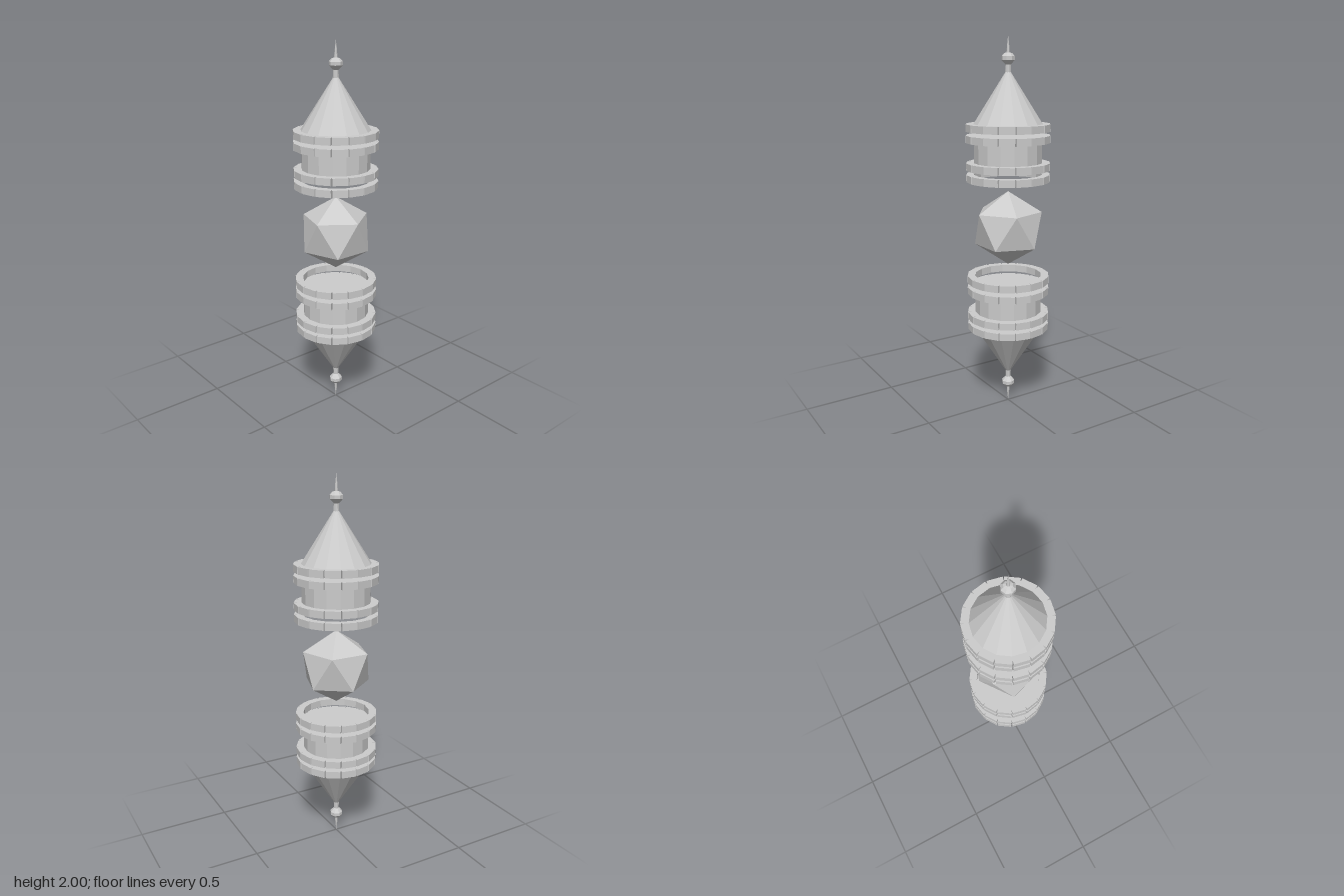
import * as THREE from 'three';

const SIDES = 16;
const material = new THREE.MeshStandardMaterial({ color: 0xcccccc, flatShading: true });

function addMesh(parent, name, geometry) {
  const mesh = new THREE.Mesh(geometry, material);
  mesh.name = name;
  parent.add(mesh);
  return mesh;
}

// Revolve [radius, height] pairs listed from bottom to top
function lathe(points, sides) {
  return new THREE.LatheGeometry(points.map(([r, y]) => new THREE.Vector2(r, y)), sides);
}

// Open band with a block on each of its sides
function makeCogRing(bottom, height) {
  const ring = new THREE.Group();
  ring.name = 'cogRing';
  const inner = 0.18, outer = 0.202;
  addMesh(ring, 'band', lathe([
    [outer, 0], [outer, height], [inner, height], [inner, 0], [outer, 0],
  ], SIDES));
  const blockIn = outer * Math.cos(Math.PI / SIDES), blockOut = 0.218;
  for (let i = 0; i < SIDES; i++) {
    const block = new THREE.BoxGeometry(0.079, height, blockOut - blockIn);
    block.translate(0, height / 2, (blockIn + blockOut) / 2);
    block.rotateY(((i + 0.5) / SIDES) * Math.PI * 2);
    addMesh(ring, 'block', block);
  }
  ring.position.y = bottom;
  return ring;
}

// One end of the device, heights measured outward from the middle
function makeHalf(name) {
  const half = new THREE.Group();
  half.name = name;
  for (const y of [0.256, 0.317, 0.46, 0.518]) half.add(makeCogRing(y, 0.038));
  addMesh(half, 'drum', new THREE.CylinderGeometry(0.18, 0.18, 0.181, SIDES)).position.y = 0.4075;
  addMesh(half, 'cone', new THREE.CylinderGeometry(0.008, 0.182, 0.271, SIDES)).position.y = 0.6915;
  addMesh(half, 'finial', lathe([
    [0.016, 0.8], [0.014, 0.855], [0.022, 0.863], [0.035, 0.877], [0.035, 0.895],
    [0.022, 0.91], [0.009, 0.914],
  ], 8));
  addMesh(half, 'spike', lathe([[0.009, 0.91], [0.006, 0.95], [0, 1]], 8));
  return half;
}

export function createModel() {
  const model = new THREE.Group();
  model.name = 'floatingDevice';

  const top = makeHalf('upperHalf');
  top.position.y = 1;
  const bottom = makeHalf('lowerHalf');
  bottom.rotation.x = Math.PI;
  bottom.position.y = 1;
  model.add(top, bottom);

  // Faceted crystal standing on one of its points
  const crystal = new THREE.IcosahedronGeometry(0.2, 0);
  crystal.rotateZ(-Math.atan(2 / (1 + Math.sqrt(5))));
  addMesh(model, 'crystal', crystal).position.y = 1.002;

  return model;
}
